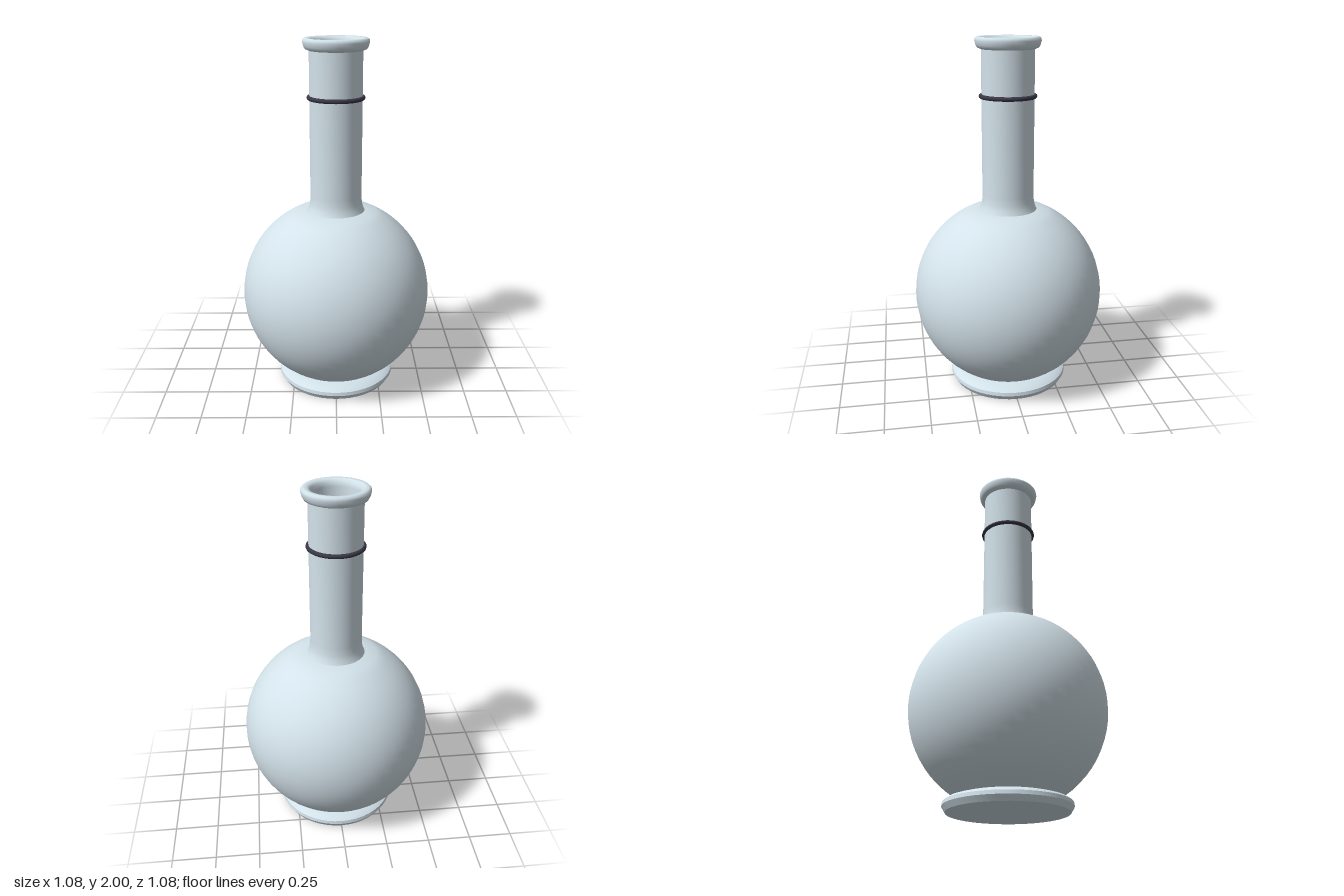
import * as THREE from 'three';
import { toCreasedNormals } from 'three/addons/utils/BufferGeometryUtils.js';

const SEGMENTS = 48;
const glass = new THREE.MeshStandardMaterial({ color: 0xd3e2ea, side: THREE.DoubleSide });
const band = new THREE.MeshStandardMaterial({ color: 0x3a3848 });

// Turns a list of [radius, height] pairs around the y axis, keeping sharp edges
function turned(name, profile, crease = 0.6) {
  const points = profile.map(([r, y]) => new THREE.Vector2(r, y));
  const geometry = toCreasedNormals(new THREE.LatheGeometry(points, SEGMENTS), crease);
  const mesh = new THREE.Mesh(geometry, glass);
  mesh.name = name;
  return mesh;
}

export function createModel() {
  const flask = new THREE.Group();
  flask.name = 'roundFlask';

  // Foot: flat underside, bevelled edge, sloping top
  flask.add(turned('foot', [
    [0, 0], [0.325, 0], [0.343, 0.03], [0.34, 0.05], [0.32, 0.065], [0.28, 0.077], [0.25, 0.08],
  ]));

  // Bulb: a sphere cut off at the foot and the shoulder
  const radius = 0.542, centre = 0.55, steps = 24;
  const start = Math.asin((0.075 - centre) / radius);
  const end = Math.asin((1.04 - centre) / radius);
  const bulb = [];
  for (let i = 0; i <= steps; i++) {
    const a = start + (end - start) * i / steps;
    bulb.push([radius * Math.cos(a), centre + radius * Math.sin(a)]);
  }
  bulb.push([0.16, 1.048]);
  flask.add(turned('bulb', bulb));

  // Neck: flared at the shoulder
  flask.add(turned('neck', [
    [0.163, 1.047], [0.153, 1.07], [0.147, 1.1], [0.145, 1.14], [0.145, 1.935],
  ]));

  // Lip with the inner wall of the neck
  flask.add(turned('lip', [
    [0.145, 1.935], [0.166, 1.943], [0.174, 1.957], [0.18, 1.98], [0.178, 1.992],
    [0.168, 2], [0.145, 1.998], [0.13, 1.985], [0.128, 1.96], [0.128, 1.05],
  ], 0.9));

  // Dark ring around the neck
  const ring = new THREE.Mesh(new THREE.TorusGeometry(0.148, 0.012, 10, SEGMENTS), band);
  ring.name = 'neckRing';
  ring.rotation.x = Math.PI / 2;
  ring.position.y = 1.686;
  flask.add(ring);

  return flask;
}
